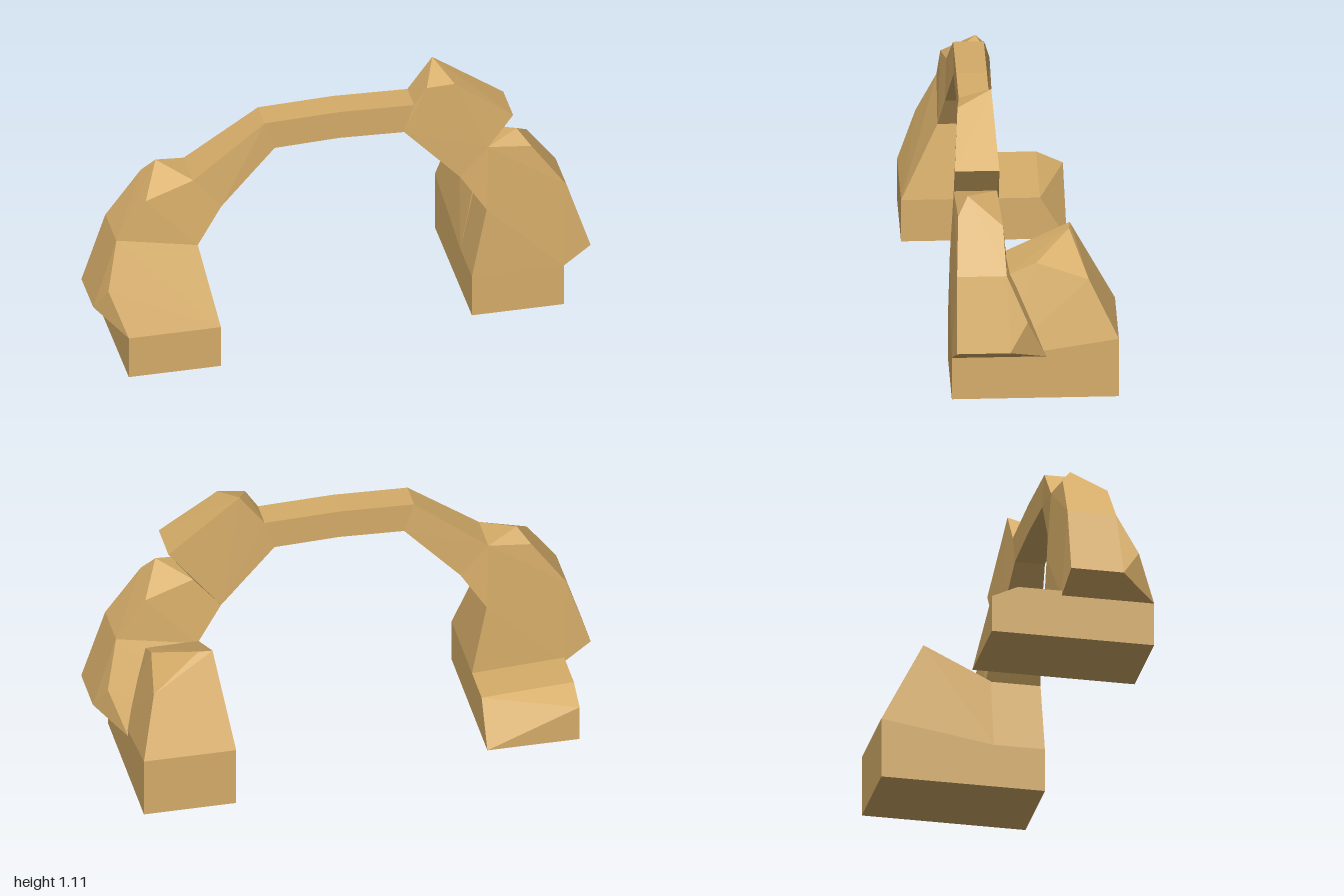
import * as THREE from 'three';
import { ConvexGeometry } from 'three/addons/geometries/ConvexGeometry.js';

const sandstone = new THREE.MeshStandardMaterial({ color: 0xd6ad69, flatShading: true });
sandstone.name = 'sandstone';

// Faceted rock spanning a few corner points
function rock(name, corners) {
  const points = corners.map((c) => new THREE.Vector3(...c));
  const mesh = new THREE.Mesh(new ConvexGeometry(points), sandstone);
  mesh.name = name;
  return mesh;
}

// The same x, y corner at a front and a back depth
const pair = (x, y, front, back) => [[x, y, front], [x, y, back]];

// Stations shared by neighbouring rocks
const footTop = [...pair(0.52, 0.18, 0.255, -0.115), ...pair(0.89, 0.18, 0.255, -0.115)];
const waist = [...pair(0.58, 0.48, 0.25, 0.03), ...pair(0.905, 0.54, 0.235, 0.04)];
const elbowIn = pair(0.48, 0.63, 0.225, 0.055);
const elbowOut = pair(0.59, 0.76, 0.235, 0.065);
const spanEnd = [...pair(0.26, 0.855, 0.2, 0.08), ...pair(0.3, 0.975, 0.2, 0.08)];
const crown = [...pair(0, 0.865, 0.2, 0.08), ...pair(0, 0.985, 0.2, 0.08)];

function halfArch(name) {
  const half = new THREE.Group();
  half.name = name;
  half.add(
    rock('foot', [...footTop, ...footTop.map(([x, , z]) => [x, 0, z])]),
    // bulging lower leg with a chipped outer corner
    rock('lowerLeg', [...footTop, ...pair(1, 0.25, 0.24, 0.03), [0.955, 0.36, -0.04], ...waist]),
    // shoulder with a pointed peak
    rock('shoulder', [
      ...waist, ...elbowIn, ...elbowOut,
      [0.785, 0.7, 0.05], [0.765, 0.735, 0.225], [0.715, 0.8, 0.185],
    ]),
    rock('archRise', [...elbowIn, ...elbowOut, ...spanEnd]),
    rock('archSpan', [...spanEnd, ...crown]),
  );
  return half;
}

export function createModel() {
  const model = new THREE.Group();
  model.name = 'rockArch';

  // Two identical halves, the second turned about the arch's own centre line
  const leftHalf = halfArch('leftHalf');
  const rightHalf = halfArch('rightHalf');
  rightHalf.rotation.y = Math.PI;
  rightHalf.position.z = 0.28;
  model.add(leftHalf, rightHalf);

  // Tilted boulder on the left shoulder
  model.add(rock('topBoulder', [
    ...pair(0.3, 0.975, 0.2, 0.08), ...pair(0.26, 0.855, 0.2, 0.08),
    ...elbowIn, ...elbowOut, ...pair(0.69, 0.895, 0.235, 0.06),
    [0.35, 1.05, 0.205], [0.46, 1.06, 0.215], [0.4, 1.11, 0.08],
  ]));

  // Tall rock behind the left leg
  model.add(rock('tallBackRock', [
    ...pair(0.52, 0, 0.05, -0.4), ...pair(0.89, 0, 0.05, -0.4),
    [0.52, 0.25, -0.4], [0.89, 0.25, -0.4],
    [0.52, 0.18, 0.05], [0.89, 0.18, 0.05], [0.89, 0.18, -0.115],
    [0.825, 0.48, -0.285], [0.63, 0.61, -0.215], [0.575, 0.61, -0.22],
    [0.79, 0.54, -0.08], [0.79, 0.48, 0.05], [0.575, 0.48, 0.05],
  ]));

  // Low ledge behind the right leg, sloping down to the ground at the back
  model.add(rock('lowBackLedge', [
    ...pair(-0.52, 0, 0.1, -0.255), ...pair(-0.89, 0, 0.1, -0.255),
    [-0.89, 0.15, -0.255], [-0.89, 0.2, -0.15], [-0.52, 0.18, -0.15],
    [-0.89, 0.2, 0.1], [-0.52, 0.18, 0.1],
  ]));

  return model;
}
